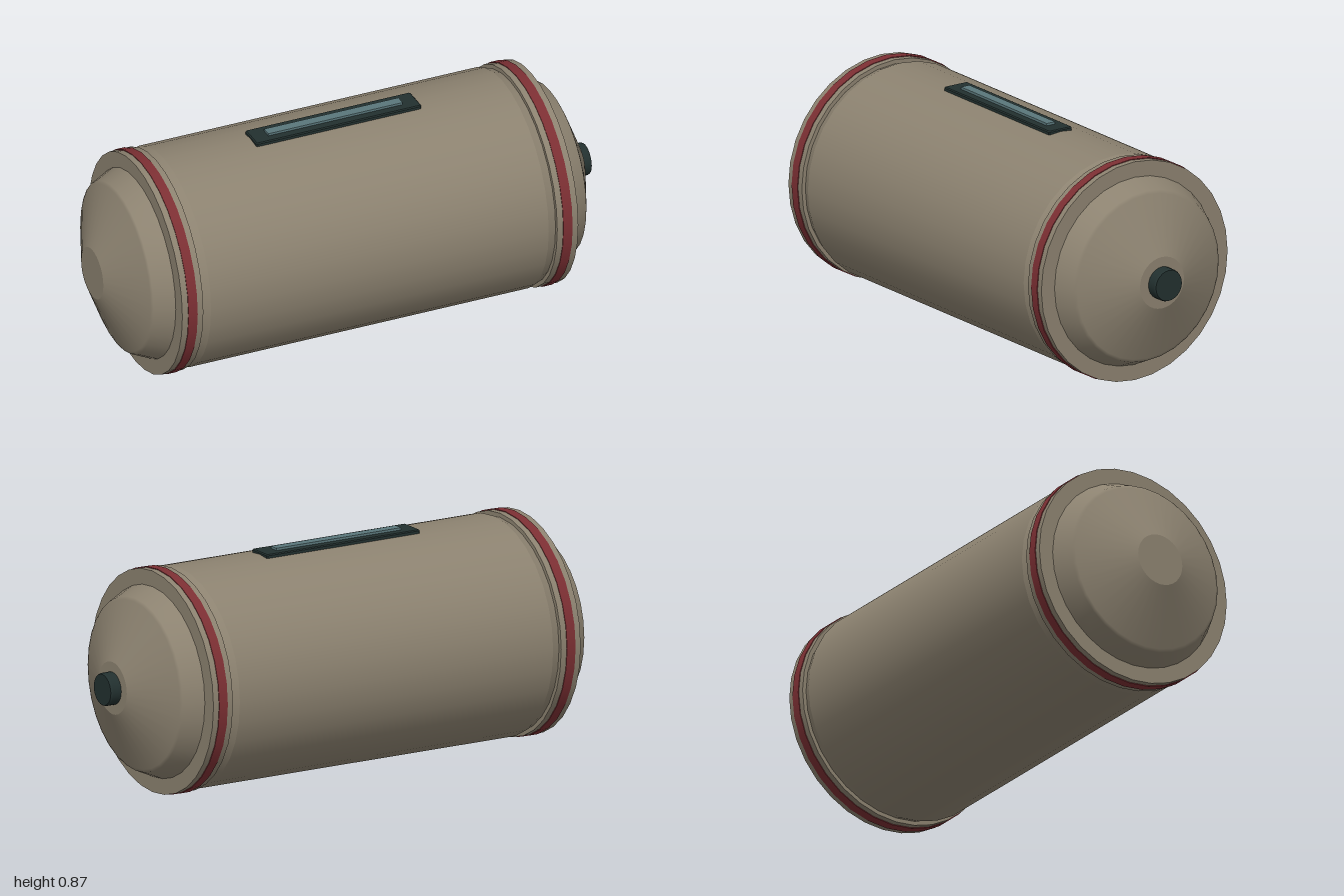
import * as THREE from 'three';

const CY = 0.427, CX = -0.022; // axis height and mid-length of the drum

export function createModel() {
  const model = new THREE.Group();
  const mat = (name, color) => Object.assign(new THREE.MeshStandardMaterial({ color }), { name });
  const tan = mat('tan shell', 0x8c8270);
  const red = mat('red stripe', 0x7c2f33);
  const dark = mat('dark fitting', 0x22302f);
  const glass = mat('grey-blue strip', 0x5a777b);

  const add = (name, geometry, material, parent = model) => {
    const mesh = new THREE.Mesh(geometry, material);
    mesh.name = name;
    parent.add(mesh);
    return mesh;
  };

  // Revolves [position along x, radius] pairs; repeated points give a hard edge
  const turned = (profile, sides = 32) =>
    new THREE.LatheGeometry(profile.map(([x, r]) => new THREE.Vector2(r, x)), sides).rotateZ(-Math.PI / 2);

  const hardRing = (x0, x1, inner, outer) => turned([
    [x0, inner], [x0, outer], [x0, outer], [x1, outer], [x1, outer], [x1, inner]]);

  // Drum body with softened rims
  const drum = new THREE.Group();
  drum.name = 'drum';
  drum.position.set(CX, CY, 0);
  model.add(drum);
  add('body', turned([
    [-0.73, 0.405], [-0.715, 0.409], [-0.685, 0.42], [-0.685, 0.42],
    [0.685, 0.42], [0.685, 0.42], [0.715, 0.409], [0.73, 0.405]]), tan, drum);

  // Band, stripe and domed cap, the same at both ends
  for (const [name, turn] of [['left', 0], ['right', Math.PI]]) {
    const end = new THREE.Group();
    end.name = name + 'End';
    end.rotation.y = turn;
    drum.add(end);
    add('band', hardRing(0.718, 0.803, 0.34, 0.424), tan, end);
    add('stripe', hardRing(0.742, 0.779, 0.41, 0.427), red, end);
    add('cap', turned([
      [0.79, 0.368], [0.803, 0.364], [0.878, 0.33], [0.884, 0.318],
      [0.978, 0.1], [0.978, 0.1], [0.978, 0]]), tan, end);
  }

  // Round plug on the left cap
  add('plug', turned([
    [0.95, 0.062], [0.993, 0.062], [0.993, 0.062], [1, 0.059], [1, 0.059], [1, 0]], 24), dark)
    .position.y = CY;

  // Flat plate with bevelled rim, and an inset strip on top
  const plate = new THREE.Shape([
    [-0.335, -0.048], [-0.33, -0.053], [0.33, -0.053], [0.335, -0.048],
    [0.335, 0.048], [0.33, 0.053], [-0.33, 0.053], [-0.335, 0.048],
  ].map(([x, y]) => new THREE.Vector2(x, y)));
  const plateGeometry = new THREE.ExtrudeGeometry(plate, {
    depth: 0.013, bevelThickness: 0.004, bevelSize: 0.004, bevelOffset: -0.004, bevelSegments: 1,
  }).rotateX(-Math.PI / 2);
  add('topPlate', plateGeometry, dark).position.set(CX, 0.839, 0);
  add('topStrip', new THREE.BoxGeometry(0.545, 0.012, 0.038), glass).position.set(CX, 0.859, 0);

  return model;
}
